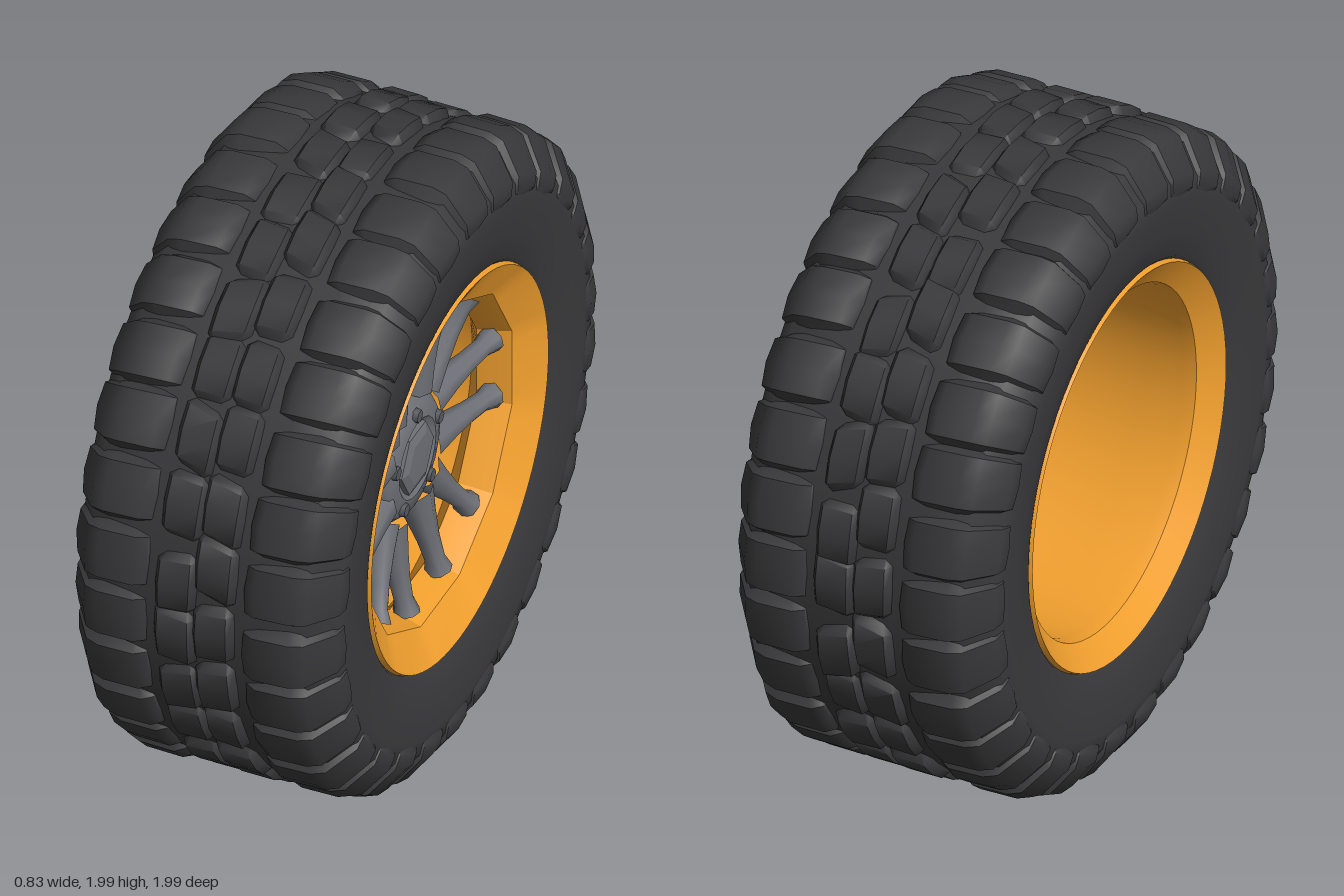
import * as THREE from 'three';
import { toCreasedNormals, mergeGeometries } from 'three/addons/utils/BufferGeometryUtils.js';

const RUBBER = new THREE.MeshStandardMaterial({ color: 0x39393b });
const ORANGE = new THREE.MeshStandardMaterial({ color: 0xf2a02e, side: THREE.DoubleSide });
const METAL = new THREE.MeshStandardMaterial({ color: 0x6c6f75 });
const DARK = new THREE.MeshStandardMaterial({ color: 0x55585d });
const rad = THREE.MathUtils.degToRad;

let seed = 7;
const jitter = () => {
  seed = (seed * 16807) % 2147483647;
  return seed / 2147483647 - 0.5;
};

// Revolves [radius, x] points about the wheel axle (x)
function spin(points, segments) {
  const g = new THREE.LatheGeometry(points.map(p => new THREE.Vector2(p[0], p[1])), segments);
  return g.rotateZ(-Math.PI / 2);
}

function part(name, geometry, material) {
  const mesh = new THREE.Mesh(geometry, material);
  mesh.name = name;
  return mesh;
}

// Pillow-shaped tread block: an [x, radius] section swept over an angle, shrinking at both ends
function treadBlock(section, pivot, angle, half, skew) {
  const steps = [[-1, 0.72], [-0.75, 0.96], [0, 1], [0.75, 0.96], [1, 0.72]];
  const pos = [], index = [], n = section.length;
  const low = 0.01 * (jitter() - 0.5);
  for (const [t, k] of steps) {
    for (const [px, pr] of section) {
      const x = pivot[0] + (px - pivot[0]) * k;
      const r = pivot[1] + (pr - pivot[1]) * k + low;
      const a = angle + half * t + skew * (px - pivot[0]);
      pos.push(x, r * Math.sin(a), r * Math.cos(a));
    }
  }
  for (let i = 0; i < steps.length - 1; i++) {
    for (let j = 0; j < n - 1; j++) {
      const a = i * n + j, b = a + 1, c = b + n, d = a + n;
      index.push(a, b, c, a, c, d);
    }
  }
  const g = new THREE.BufferGeometry();
  g.setAttribute('position', new THREE.Float32BufferAttribute(pos, 3));
  g.setIndex(index);
  return toCreasedNormals(g, 0.9);
}

function buildTyre() {
  const tyre = new THREE.Group();
  tyre.name = 'tyre';
  // Carcass with flat sidewalls
  const half = [[0.6, 0.36], [0.62, 0.382], [0.7, 0.399], [0.8, 0.409], [0.86, 0.402], [0.945, 0.34], [0.964, 0.2]];
  const profile = [...half.map(([r, x]) => [r, -x]), ...half.slice().reverse()];
  tyre.add(part('carcass', spin(profile, 72), RUBBER));

  // Shoulder lugs wrap over the edge, two uneven rows run down the middle
  const shoulder = [[0.14, 0.93], [0.15, 0.978], [0.185, 0.998], [0.3, 0.996], [0.345, 0.98], [0.412, 0.885], [0.417, 0.84], [0.395, 0.8]];
  const mirrored = shoulder.map(([x, r]) => [-x, r]).reverse();
  const rows = { leftShoulder: [], rightShoulder: [], centreTread: [] };
  const count = 30, pitch = (Math.PI * 2) / count;
  for (let i = 0; i < count; i++) {
    const a = i * pitch + rad(-2);
    const h = pitch * 0.5;
    rows.leftShoulder.push(treadBlock(shoulder, [0.26, 0.84], a + 0.02 * jitter(), h, 0.05));
    rows.rightShoulder.push(treadBlock(mirrored, [-0.26, 0.84], a + 0.02 * jitter(), h, 0.05));
    for (const s of [-1, 1]) {
      const c = s * 0.06, w = 0.062 + 0.01 * jitter();
      const section = [[c - w, 0.92], [c - w, 0.975], [c - w * 0.75, 0.998], [c + w * 0.75, 0.998], [c + w, 0.975], [c + w, 0.92]];
      rows.centreTread.push(treadBlock(section, [c, 0.88], a + s * 0.02 + 0.05 * jitter(), h, 0.6 * jitter()));
    }
  }
  for (const name in rows) tyre.add(part(name, mergeGeometries(rows[name]), RUBBER));
  return tyre;
}

// Rim: sloped flanges front and back, a barrel between, and a twelve-sided inner edge in front
function buildRim() {
  const g = spin([
    [0.612, -0.365], [0.604, -0.387], [0.53, -0.33], [0.525, -0.29], [0.54, -0.15], [0.535, 0.18],
    [0.482, 0.225], [0.488, 0.26], [0.508, 0.325], [0.604, 0.387], [0.612, 0.365],
  ], 72);
  const p = g.attributes.position;
  for (let i = 0; i < p.count; i++) {
    const y = p.getY(i), z = p.getZ(i);
    if (Math.hypot(y, z) > 0.515) continue;
    const step = Math.PI / 6;
    const a = Math.atan2(y, z) + Math.PI * 2 + step / 2;
    const k = Math.cos(step / 2) / Math.cos((a % step) - step / 2);
    p.setXYZ(i, p.getX(i), y * k, z * k);
  }
  return part('rim', toCreasedNormals(g, 0.5), ORANGE);
}

// Flared spoke between two points
function spoke(from, to) {
  const length = from.distanceTo(to);
  const shape = [[0.062, 0], [0.046, 0.3], [0.034, 0.6], [0.03, 0.85], [0.042, 1]];
  const g = new THREE.LatheGeometry(shape.map(([r, t]) => new THREE.Vector2(r, t * length)), 8);
  const mesh = part('spoke', g, METAL);
  mesh.position.copy(from);
  mesh.quaternion.setFromUnitVectors(new THREE.Vector3(0, 1, 0), to.clone().sub(from).normalize());
  return mesh;
}

function buildCentre() {
  const centre = new THREE.Group();
  centre.name = 'wheelCentre';
  const polar = (x, r, deg) => new THREE.Vector3(x, r * Math.sin(rad(deg)), r * Math.cos(rad(deg)));

  // Three spokes per quadrant, mirrored
  for (const [root, rootR, tip] of [[25, 0.18, 12], [48, 0.21, 51], [66, 0.21, 77]]) {
    for (const map of [d => d, d => 180 - d, d => 180 + d, d => -d]) {
      centre.add(spoke(polar(0.2, rootR, map(root)), polar(0.27, 0.485, map(tip))));
    }
  }

  // Hub with a low hexagonal cap
  const hub = spin([[0, 0.13], [0.17, 0.13], [0.21, 0.16], [0.21, 0.205], [0.175, 0.245], [0.125, 0.255], [0.105, 0.24], [0, 0.24]], 20);
  centre.add(part('hub', toCreasedNormals(hub, 0.8), METAL));
  const cap = spin([[0.115, 0.225], [0.11, 0.255], [0.08, 0.265], [0, 0.267]], 6);
  centre.add(part('hubCap', toCreasedNormals(cap, 0.3), METAL));

  // Wheel nuts
  for (let i = 0; i < 5; i++) {
    const nut = part('wheelNut', new THREE.CylinderGeometry(0.02, 0.024, 0.03, 6).rotateZ(-Math.PI / 2), DARK);
    nut.position.copy(polar(0.248, 0.152, 90 + i * 72));
    centre.add(nut);
  }
  return centre;
}

export function createModel() {
  const model = new THREE.Group();
  model.name = 'offRoadWheel';
  const wheel = new THREE.Group();
  wheel.name = 'wheel';
  wheel.position.y = 1;
  wheel.add(buildTyre(), buildRim(), buildCentre());
  model.add(wheel);
  return model;
}
